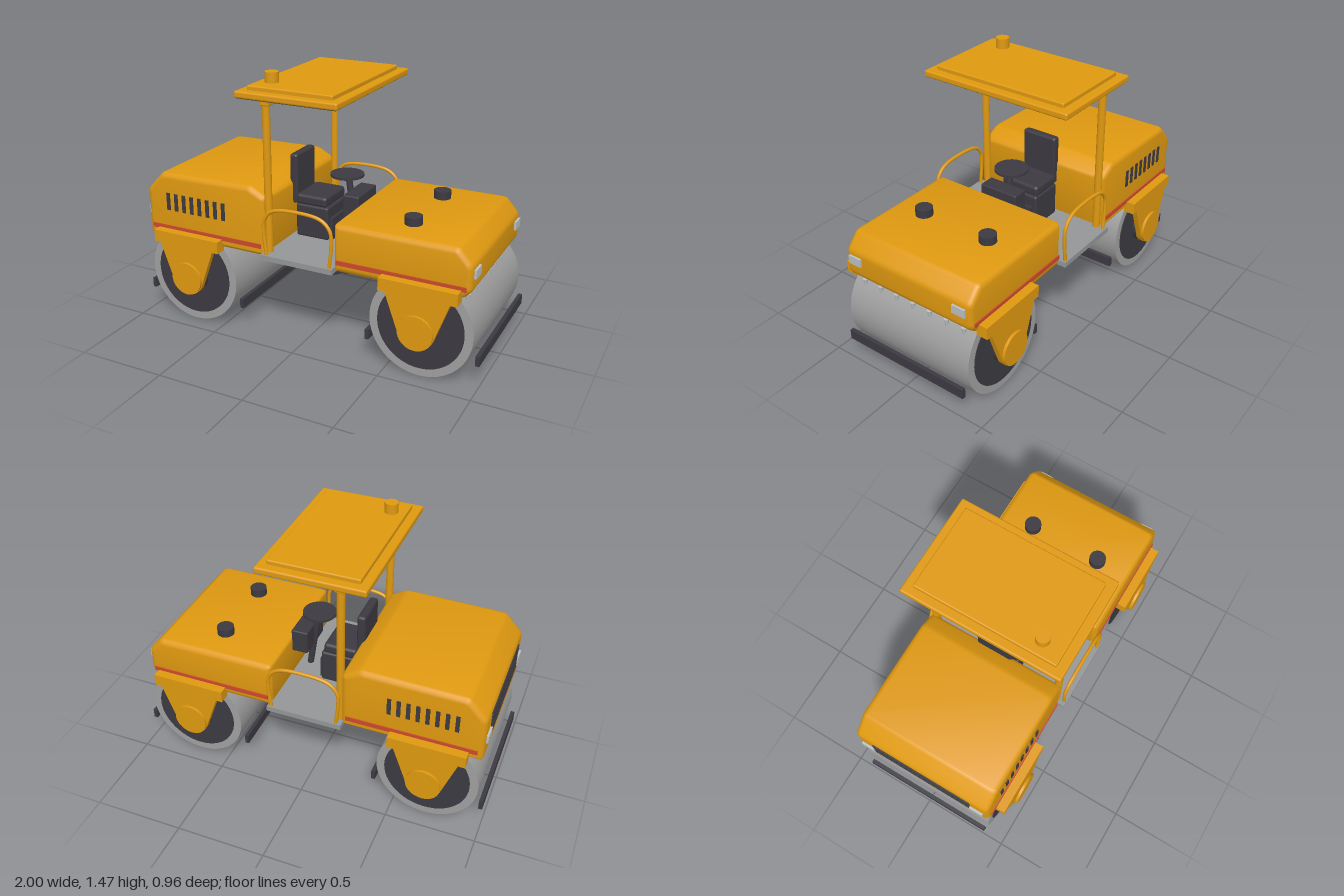
import * as THREE from 'three';
import { toCreasedNormals } from 'three/addons/utils/BufferGeometryUtils.js';
import { RoundedBoxGeometry } from 'three/addons/geometries/RoundedBoxGeometry.js';

const mat = (name, color) => {
  const m = new THREE.MeshStandardMaterial({ color });
  m.name = name;
  return m;
};

export function createModel() {
  const yellow = mat('yellow paint', 0xdf9910);
  const dark = mat('dark grey', 0x3c3a41);
  const steel = mat('drum steel', 0xa0a0a0);
  const floorGrey = mat('floor grey', 0x949698);
  const red = mat('red stripe', 0xcc4a2c);
  const lamp = mat('lamp glass', 0xbcc0c2);

  const model = new THREE.Group();
  model.name = 'tandemRoller';

  const add = (name, geo, material, x = 0, y = 0, z = 0, parent = model) => {
    const m = new THREE.Mesh(geo, material);
    m.name = name;
    m.position.set(x, y, z);
    parent.add(m);
    return m;
  };
  // Box given by its limits; r rounds the edges
  const box = (name, material, [x0, x1], [y0, y1], [z0, z1], r = 0) => {
    const s = [x1 - x0, y1 - y0, z1 - z0];
    const geo = r ? new RoundedBoxGeometry(...s, 2, r) : new THREE.BoxGeometry(...s);
    return add(name, geo, material, (x0 + x1) / 2, (y0 + y1) / 2, (z0 + z1) / 2);
  };
  const cyl = (r, h, n = 32) => new THREE.CylinderGeometry(r, r, h, n);

  // Closed outline with rounded corners
  const roundedShape = (pts, r) => {
    const s = new THREE.Shape();
    const v = pts.map((p) => new THREE.Vector2(...p));
    v.forEach((p, i) => {
      const toward = (q) => p.clone().add(q.clone().sub(p).setLength(r));
      const a = toward(v[(i + v.length - 1) % v.length]);
      const b = toward(v[(i + 1) % v.length]);
      if (i === 0) s.moveTo(a.x, a.y); else s.lineTo(a.x, a.y);
      s.quadraticCurveTo(p.x, p.y, b.x, b.y);
    });
    s.closePath();
    return s;
  };
  // Hood: side outline extruded across the width with rounded edges
  const hood = (name, pts) => {
    const b = 0.03;
    const geo = new THREE.ExtrudeGeometry(roundedShape(pts, 0.02), {
      depth: 0.82 - 2 * b, bevelEnabled: true, bevelThickness: b, bevelSize: b,
      bevelOffset: -b, bevelSegments: 3, curveSegments: 4,
    });
    geo.translate(0, 0, -0.41 + b);
    add(name, toCreasedNormals(geo, 0.6), yellow);
  };
  hood('rearHood', [[-0.97, 0.49], [-0.2, 0.49], [-0.2, 0.825], [-0.3, 0.878], [-0.87, 0.868], [-0.97, 0.76]]);
  hood('frontHood', [[0.2, 0.49], [0.9, 0.49], [0.945, 0.535], [0.945, 0.67], [0.87, 0.755], [0.2, 0.755]]);

  // Drum with end discs and hubs, one at each end
  const drumGeo = cyl(0.28, 0.8, 64).rotateX(Math.PI / 2);
  const discGeo = cyl(0.235, 0.808, 48).rotateX(Math.PI / 2);
  const hubGeo = cyl(0.095, 0.88).rotateX(Math.PI / 2);
  const bossGeo = cyl(0.095, 0.05).rotateX(Math.PI / 2);

  // Tapered side plate ending in a round foot
  const plate = new THREE.Shape();
  plate.moveTo(0.18, 0.21);
  plate.lineTo(-0.18, 0.21);
  plate.lineTo(-0.092, -0.035);
  plate.absarc(0, 0, 0.098, Math.PI + 0.36, 2 * Math.PI - 0.36, false);
  plate.closePath();
  const plateGeo = new THREE.ExtrudeGeometry(plate, { depth: 0.03, bevelEnabled: false, curveSegments: 16 });
  plateGeo.translate(0, 0, -0.015);

  for (const e of [-1, 1]) {
    const end = e < 0 ? 'rear' : 'front';
    const cx = e * 0.687, cy = 0.285;
    add(end + 'Drum', drumGeo, steel, cx, cy);
    add(end + 'DrumDiscs', discGeo, dark, cx, cy);
    add(end + 'DrumHub', hubGeo, dark, cx, cy);
    for (const s of [-1, 1]) {
      add(end + 'SidePlate', plateGeo, yellow, cx, cy, s * 0.45);
      add(end + 'Boss', bossGeo, yellow, cx, cy, s * 0.455);
      const zs = s > 0 ? [0.4, 0.466] : [-0.466, -0.4];
      box(end + 'PlateMount', yellow, [cx - 0.21, cx + 0.21], [0.475, 0.543], zs);
      // Red side stripe
      const xs = e < 0 ? [-0.94, -0.23] : [0.22, 0.92];
      box(end + 'Stripe', red, xs, [0.536, 0.561], s > 0 ? [0.408, 0.416] : [-0.416, -0.408]);
      // Corner lamp
      const lx = e < 0 ? [-0.982, -0.96] : [0.935, 0.957];
      box(end + 'Lamp', lamp, lx, [0.6, 0.647], s > 0 ? [0.3, 0.38] : [-0.38, -0.3]);
      // Scraper bars ahead of and behind the drum
      const sx = cx + s * 0.302;
      box(end + 'Scraper', dark, [sx - 0.011, sx + 0.011], [0.13, 0.186], [-0.385, 0.385]);
    }
    // Water nozzles under the hood end
    for (let i = -3; i <= 3; i++) {
      add(end + 'Nozzle', new THREE.CylinderGeometry(0.014, 0.007, 0.04, 10), lamp, e * 0.905, 0.47, i * 0.11);
    }
  }

  // Side vents and rear grille
  for (let i = 0; i < 8; i++) {
    const x = -0.825 + i * 0.0515;
    for (const s of [-1, 1]) {
      add('sideVent', new THREE.BoxGeometry(0.021, 0.1, 0.008), dark, x, 0.705, s * 0.412);
    }
  }
  for (let i = 0; i < 7; i++) {
    add('grilleSlat', new THREE.BoxGeometry(0.009, 0.013, 0.6), dark, -0.972, 0.59 + i * 0.024, 0);
  }

  // Filler caps
  for (const s of [-1, 1]) add('fillerCap', cyl(0.047, 0.05, 24), dark, 0.56, 0.775, s * 0.211);

  // Platform and centre joint
  box('platform', floorGrey, [-0.215, 0.212], [0.49, 0.52], [-0.45, 0.45]);
  box('jointHousing', dark, [-0.185, 0.18], [0.385, 0.49], [-0.2, 0.2]);
  add('jointPin', cyl(0.044, 0.12, 24), dark, -0.003, 0.335, 0);

  // Seat
  box('seatBase', dark, [-0.172, 0.025], [0.52, 0.71], [-0.125, 0.125], 0.012);
  box('seatCushion', dark, [-0.175, 0.012], [0.705, 0.765], [-0.12, 0.12], 0.018);
  box('seatBack', dark, [-0.22, -0.172], [0.7, 0.985], [-0.107, 0.107], 0.015);
  box('seatStep', dark, [0.0, 0.04], [0.52, 0.645], [-0.1, 0.1]);

  // Dashboard, steering column and wheel
  box('dashboard', dark, [0.11, 0.205], [0.665, 0.803], [-0.117, 0.117], 0.008);
  const low = new THREE.Vector3(0.142, 0.52, 0), high = new THREE.Vector3(0.092, 0.86, 0);
  const column = add('steeringColumn', cyl(0.018, low.distanceTo(high), 16), dark);
  column.position.copy(low).lerp(high, 0.5);
  column.quaternion.setFromUnitVectors(new THREE.Vector3(0, 1, 0), high.clone().sub(low).normalize());
  add('steeringHub', cyl(0.012, 0.035, 12), dark, 0.088, 0.868, 0);
  add('steeringWheel', cyl(0.093, 0.013), dark, 0.082, 0.881, 0);

  // Hand rails
  const railPath = new THREE.CatmullRomCurve3([
    [-0.182, 0.51], [-0.196, 0.65], [-0.19, 0.72], [-0.145, 0.772], [0, 0.793],
    [0.145, 0.775], [0.195, 0.725], [0.203, 0.65], [0.19, 0.51],
  ].map(([x, y]) => new THREE.Vector3(x, y, 0)));
  const railGeo = new THREE.TubeGeometry(railPath, 48, 0.01, 8);

  for (const s of [-1, 1]) {
    add('handRail', railGeo, yellow, 0, 0, s * 0.434);
    add('roofPost', cyl(0.021, 0.82, 20), yellow, -0.191, 0.925, s * 0.386);
  }

  // Roof
  box('roofCrossbar', yellow, [-0.217, -0.165], [1.325, 1.362], [-0.41, 0.41], 0.006);
  box('roofSlab', yellow, [-0.342, 0.242], [1.36, 1.397], [-0.45, 0.45], 0.01);
  box('roofPanel', yellow, [-0.295, 0.195], [1.39, 1.421], [-0.4, 0.4], 0.008);
  box('roofLining', dark, [-0.33, 0.23], [1.357, 1.362], [-0.438, 0.438]);
  add('beacon', cyl(0.037, 0.06, 24), yellow, -0.215, 1.447, 0.28);

  return model;
}
